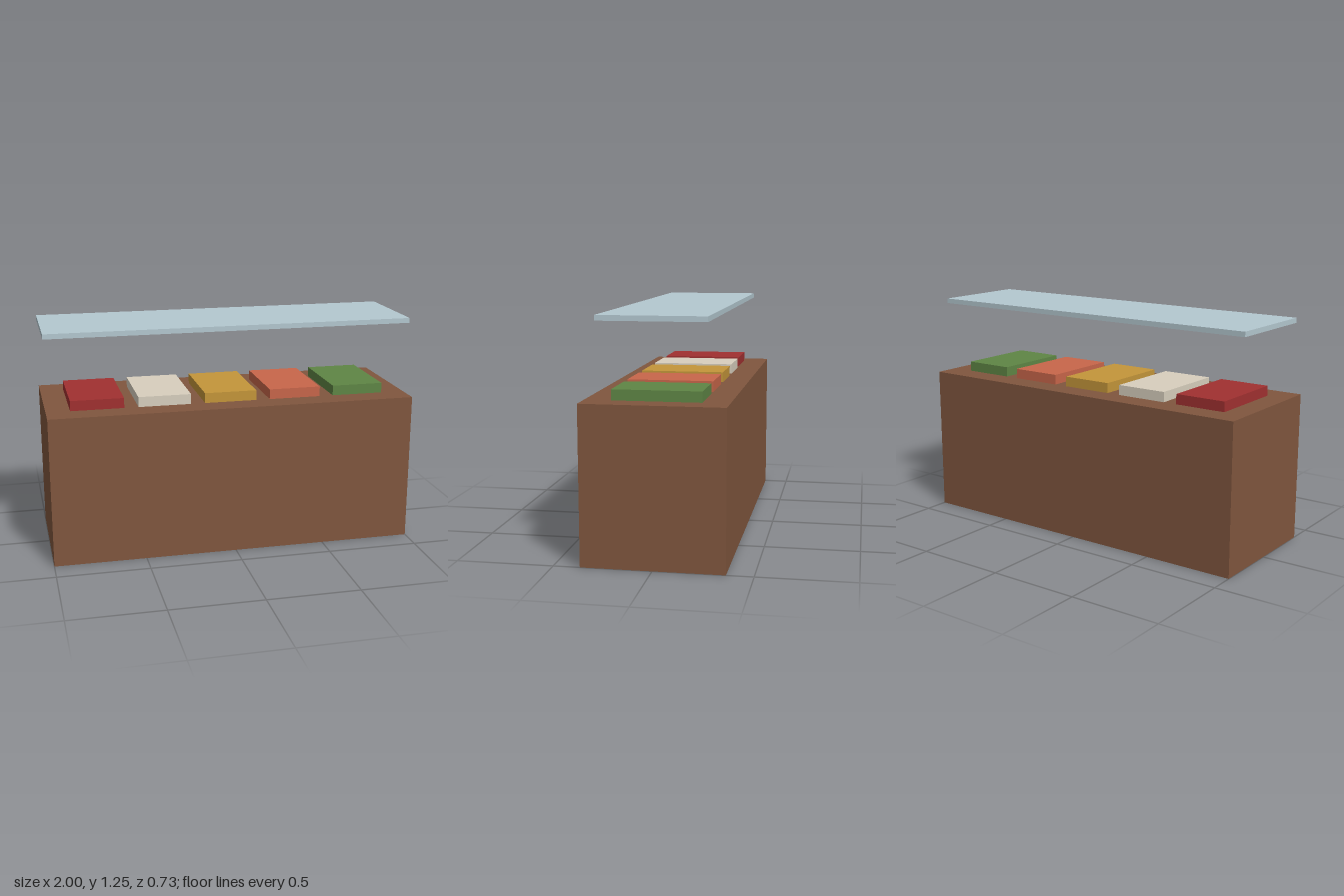
import * as THREE from 'three';

// Box resting with its underside at height y
function box(name, [w, h, d], x, y, color) {
  const mesh = new THREE.Mesh(
    new THREE.BoxGeometry(w, h, d),
    new THREE.MeshStandardMaterial({ color })
  );
  mesh.name = name;
  mesh.position.set(x, y + h / 2, 0);
  return mesh;
}

export function createModel() {
  const model = new THREE.Group();
  model.name = 'foodCounter';

  // Solid counter body
  const counterHeight = 0.818;
  model.add(box('counter', [2, counterHeight, 0.727], 0, 0, 0x80563e));

  // Row of food trays on the counter top
  const trays = new THREE.Group();
  trays.name = 'trays';
  const trayColors = [0xa03030, 0xd8cfbe, 0xc4963a, 0xc8664a, 0x5f8645];
  trayColors.forEach((color, i) => {
    const x = (i - 2) * 0.3636;
    trays.add(box(`tray${i + 1}`, [0.287, 0.055, 0.4545], x, counterHeight, color));
  });
  model.add(trays);

  // Flat glass guard floating above the trays
  model.add(box('glassGuard', [2, 0.027, 0.545], 0, 1.218, 0xb4c8d0));

  return model;
}
